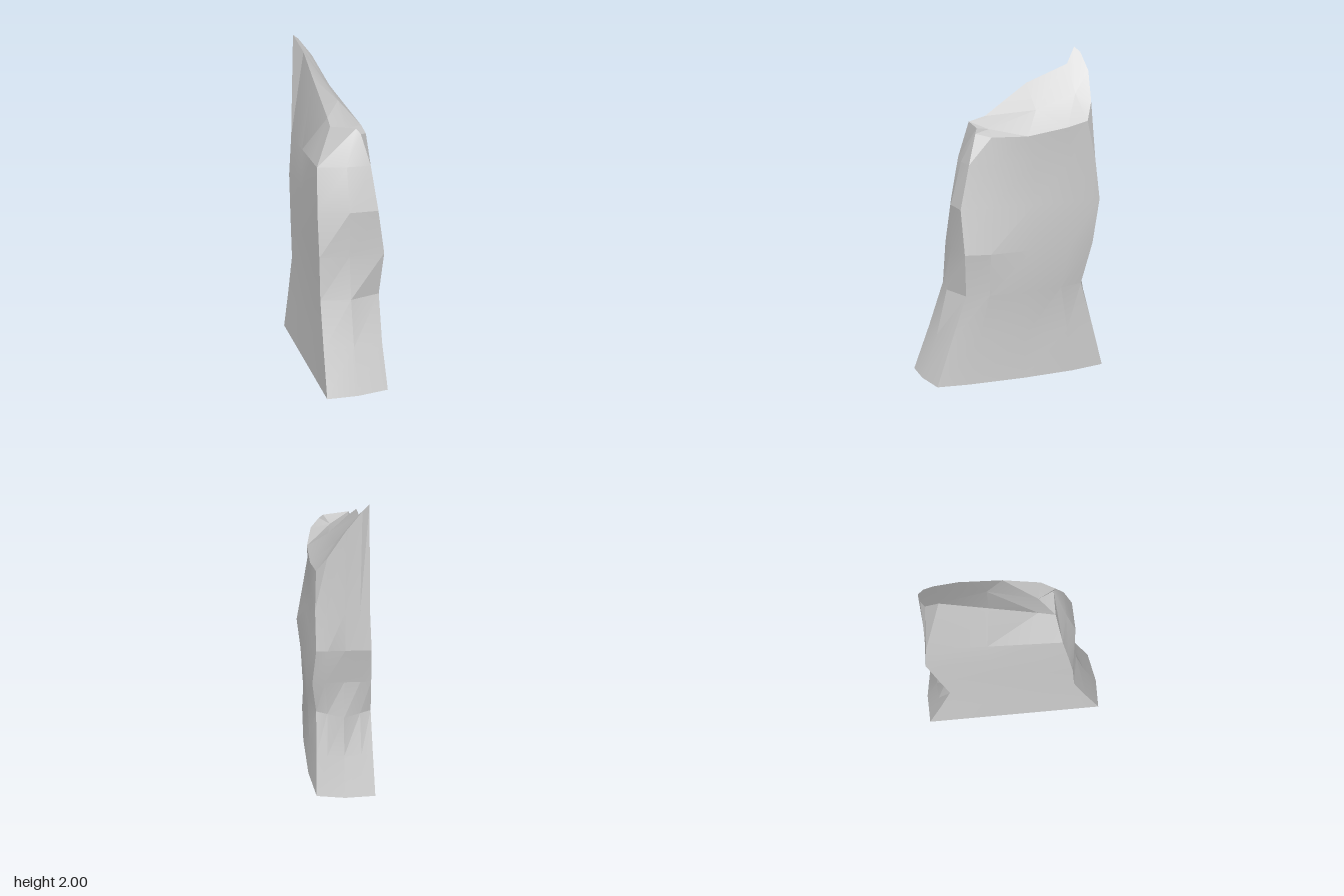
import * as THREE from 'three';
import { toCreasedNormals } from 'three/addons/utils/BufferGeometryUtils.js';

// One horizontal layer, counter-clockwise from above. Corners are [x, z]:
// fl / fr front, br / bl back; zf, zb the middles of front and back; bow the x of the bulging right side
function layer(y, fl, zf, fr, bow, br, zb, bl) {
  const at = (a, b, t) => [a[0] + (b[0] - a[0]) * t, y, a[1] + (b[1] - a[1]) * t];
  const right = (x, t) => [x, y, at(fr, br, t)[2]];
  const back = [-0.03, zb];
  return [
    at(fl, fl, 0), [-0.03, y, zf], at(fr, fr, 0),
    right(bow[0], 0.18), right(bow[1], 0.5), right(bow[2], 0.8),
    at(br, br, 0), at(br, back, 0.4), at(back, back, 0), at(back, bl, 0.6), at(bl, bl, 0),
    at(bl, fl, 0.2), at(bl, fl, 0.45), at(bl, fl, 0.8),
  ];
}

function rockGeometry() {
  const rings = [
    layer(0, [-0.22, 0.58], 0.585, [0.165, 0.55], [0.19, 0.2, 0.185], [0.145, -0.56], -0.59, [-0.22, -0.585]),
    layer(0.27, [-0.215, 0.48], 0.487, [0.155, 0.455], [0.18, 0.185, 0.175], [0.14, -0.49], -0.51, [-0.208, -0.5]),
    layer(0.55, [-0.21, 0.385], 0.42, [0.16, 0.36], [0.195, 0.2, 0.18], [0.135, -0.41], -0.485, [-0.197, -0.42]),
    layer(0.81, [-0.21, 0.365], 0.385, [0.187, 0.375], [0.22, 0.21, 0.19], [0.16, -0.475], -0.475, [-0.19, -0.48]),
    layer(1.08, [-0.21, 0.325], 0.388, [0.145, 0.385], [0.175, 0.175, 0.165], [0.138, -0.53], -0.535, [-0.182, -0.54]),
    layer(1.34, [-0.2, 0.28], 0.32, [0.115, 0.32], [0.14, 0.155, 0.155], [0.14, -0.495], -0.525, [-0.17, -0.52]),
    // sloping rim, rising to the peak at the back left
    [
      [-0.11, 1.57, 0.24], [0.045, 1.55, 0.245], [0.07, 1.52, 0.262],
      [0.125, 1.5, 0.18], [0.16, 1.5, -0.04], [0.155, 1.54, -0.3],
      [0.13, 1.57, -0.445], [0.07, 1.68, -0.495], [-0.03, 1.86, -0.52],
      [-0.12, 1.97, -0.505], [-0.16, 2, -0.48],
      [-0.11, 1.9, -0.41], [-0.12, 1.79, -0.14], [-0.1, 1.6, 0.14],
    ],
  ];
  const n = rings[0].length, verts = rings.flat(), index = [];

  // walls between layers
  for (let r = 0; r < rings.length - 1; r++)
    for (let i = 0; i < n; i++) {
      const a = r * n + i, b = r * n + (i + 1) % n;
      index.push(a, b, b + n, a, b + n, a + n);
    }

  // flat underside
  for (let i = 1; i < n - 1; i++) index.push(0, i + 1, i);

  // sloping top: rim points joined to three inner points, with a small notch behind the front lip
  const top = (rings.length - 1) * n, [f, m, k] = [0, 1, 2].map(i => verts.length + i);
  verts.push([0.01, 1.535, 0.155], [0.04, 1.64, -0.14], [0.02, 1.73, -0.41]);
  const fan = (c, ids) => {
    for (let i = 0; i < ids.length - 1; i++) index.push(c, top + ids[i], top + ids[i + 1]);
  };
  fan(f, [13, 0, 1, 2, 3, 4]);
  fan(m, [4, 5]);
  fan(k, [5, 6, 7, 8, 9, 10, 11]);
  fan(m, [11, 12, 13]);
  index.push(m, f, top + 4, m, top + 13, f, m, top + 5, k, m, k, top + 11);

  const geo = new THREE.BufferGeometry();
  geo.setAttribute('position', new THREE.Float32BufferAttribute(verts.flat(), 3));
  geo.setIndex(index);
  return toCreasedNormals(geo, 0.25);
}

export function createModel() {
  const group = new THREE.Group();
  group.name = 'standingStone';
  const rock = new THREE.Mesh(rockGeometry(), new THREE.MeshStandardMaterial({ color: 0xcccccc }));
  rock.name = 'rockSlab';
  group.add(rock);
  return group;
}
